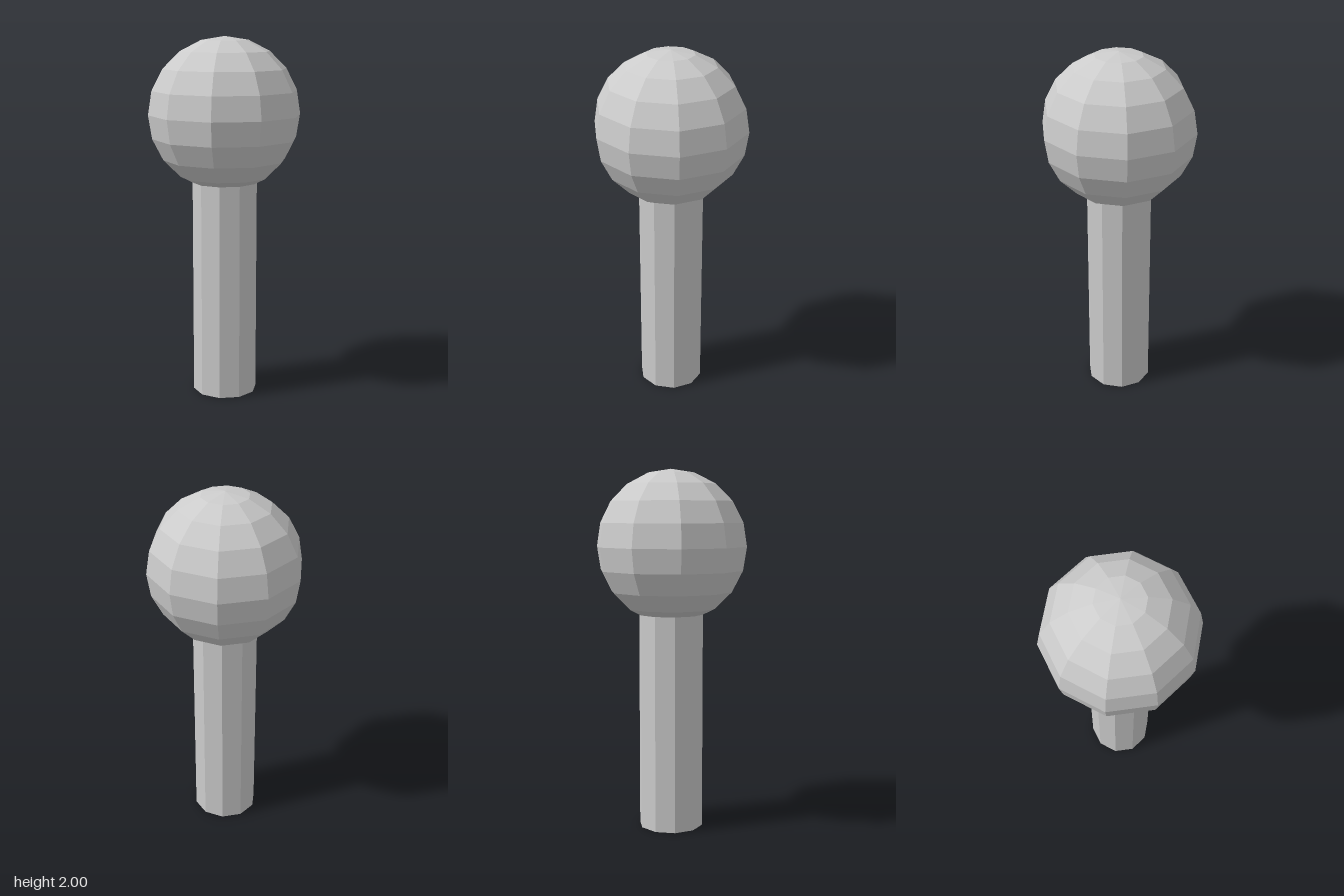
import * as THREE from 'three';

const SIDES = 10;
const KNOB_RADIUS = 0.42;
const STEM_RADIUS = 0.18;
const STEM_HEIGHT = 1.22; // ends just inside the knob

export function createModel() {
  const model = new THREE.Group();
  model.name = 'ballTopPost';
  const material = new THREE.MeshStandardMaterial({ color: 0xcccccc, flatShading: true });

  function addPart(name, geometry, y) {
    const mesh = new THREE.Mesh(geometry, material);
    mesh.name = name;
    mesh.position.y = y;
    model.add(mesh);
  }

  // Ten-sided stem, turned half a step so corners lie on the x axis
  const stem = new THREE.CylinderGeometry(STEM_RADIUS, STEM_RADIUS, STEM_HEIGHT, SIDES, 1, false, Math.PI / SIDES);
  addPart('stem', stem, STEM_HEIGHT / 2);

  // Faceted ball on top
  addPart('knob', new THREE.SphereGeometry(KNOB_RADIUS, SIDES, 10), 2 - KNOB_RADIUS);

  return model;
}
